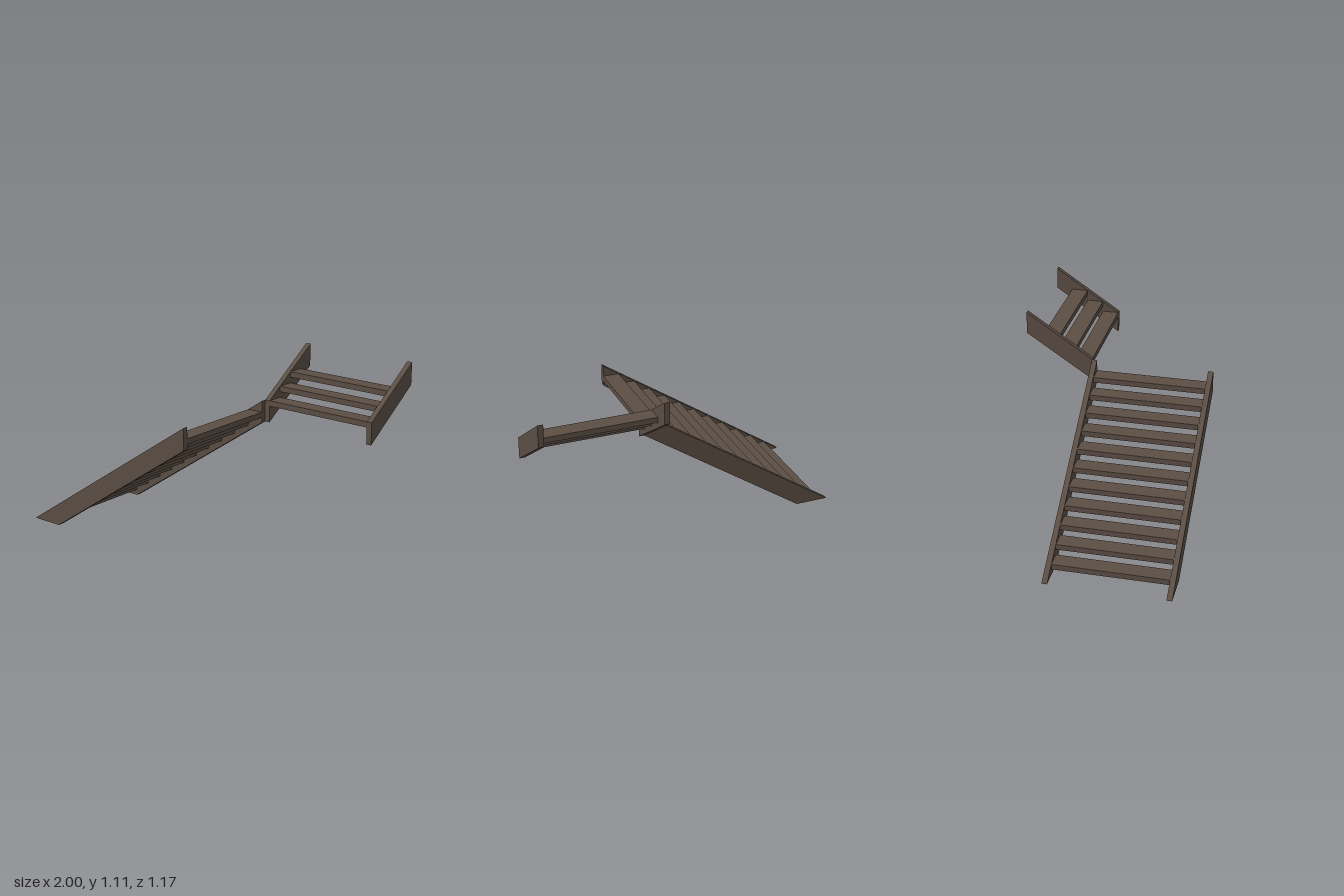
import * as THREE from 'three';

const RISE = 0.069, GOING = 0.1035, TREAD = 0.034, BOARD = 0.033;

export function createModel() {
  const wood = new THREE.MeshStandardMaterial({ color: 0x5b4e44 });
  const model = new THREE.Group();
  model.name = 'quarterTurnStaircase';

  // Sloped side board: profile in x/y, thickness along z
  function stringer(name, points, z) {
    const shape = new THREE.Shape(points.map(([x, y]) => new THREE.Vector2(x, y)));
    const geo = new THREE.ExtrudeGeometry(shape, { depth: BOARD, bevelEnabled: false });
    const mesh = new THREE.Mesh(geo, wood);
    mesh.name = name;
    mesh.position.z = z;
    return mesh;
  }

  // A flight climbs along its own +x, with a stringer on each side
  function flight(name, profile, zNear, zFar, count, frontX, topY) {
    const group = new THREE.Group();
    group.name = name;
    group.add(stringer('nearStringer', profile, zNear - BOARD));
    group.add(stringer('farStringer', profile, zFar));
    const width = zNear - zFar - 2 * BOARD;
    const geo = new THREE.BoxGeometry(GOING, TREAD, width);
    for (let i = 0; i < count; i++) {
      const tread = new THREE.Mesh(geo, wood);
      tread.name = 'tread';
      tread.position.set(frontX + GOING * (i + 0.5), topY + RISE * i - TREAD / 2, (zNear + zFar) / 2);
      group.add(tread);
    }
    return group;
  }

  // Lower flight, cut level at the floor and plumb at the top
  model.add(flight('lowerFlight',
    [[-1, 0], [-0.793, 0], [0.238, 0.695], [0.238, 0.83]],
    0.585, -0.173, 11, -0.9, 0.07));

  // Upper flight, turned to climb towards the back
  const upper = flight('upperFlight',
    [[0, 0.695], [0.412, 0.968], [0.412, 1.105], [0, 0.83]],
    1, 0.238, 3, 0, 0.83);
  upper.rotation.y = Math.PI / 2;
  upper.position.z = -0.173;
  model.add(upper);

  return model;
}
